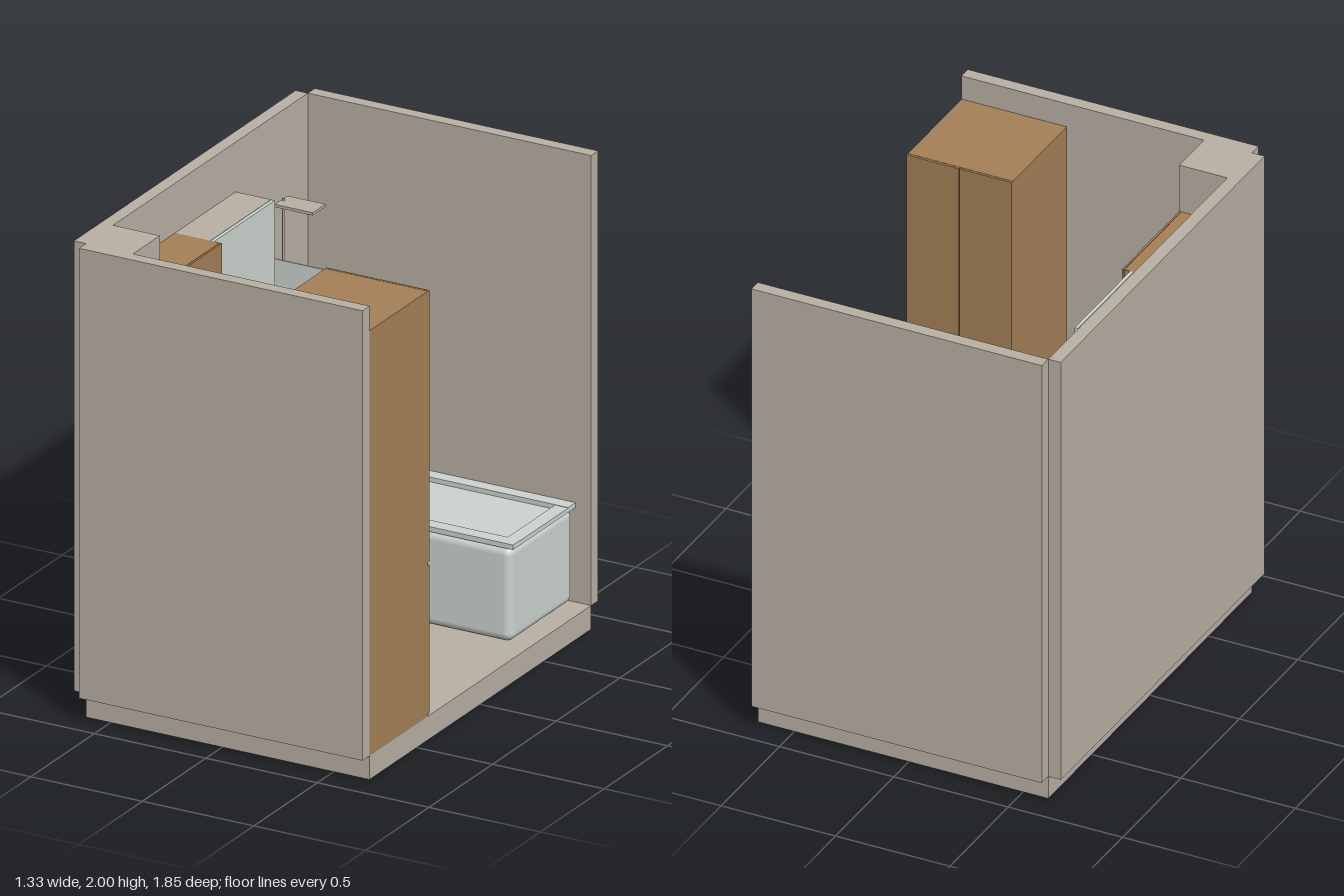
import * as THREE from 'three';
import { RoundedBoxGeometry } from 'three/addons/geometries/RoundedBoxGeometry.js';

export function createModel() {
  const room = new THREE.Group();
  room.name = 'bathroom';
  const material = (name, color) => {
    const m = new THREE.MeshStandardMaterial({ color });
    m.name = name;
    return m;
  };
  const beige = material('warm grey plaster', 0xb8afa3);
  const wood = material('oak wood', 0xa37f56);
  const white = material('white ceramic', 0xcbd2ce);

  // Box from its limits on each axis; a radius rounds its edges
  function box(name, mat, [x0, x1], [y0, y1], [z0, z1], radius = 0) {
    const size = [x1 - x0, y1 - y0, z1 - z0];
    const geo = radius
      ? new RoundedBoxGeometry(...size, 4, radius)
      : new THREE.BoxGeometry(...size);
    const mesh = new THREE.Mesh(geo, mat);
    mesh.name = name;
    mesh.position.set((x0 + x1) / 2, (y0 + y1) / 2, (z0 + z1) / 2);
    room.add(mesh);
  }
  function pipe(name, mat, radius, points) {
    const path = new THREE.CurvePath();
    for (let i = 1; i < points.length; i++) {
      path.add(new THREE.LineCurve3(
        new THREE.Vector3(...points[i - 1]), new THREE.Vector3(...points[i])));
    }
    const mesh = new THREE.Mesh(new THREE.TubeGeometry(path, 24, radius, 10), mat);
    mesh.name = name;
    room.add(mesh);
  }

  // Floor slab and three walls
  box('floor', beige, [-0.61, 0.66], [0, 0.1], [-0.872, 0.872]);
  box('sideWall', beige, [-0.665, -0.61], [0.1, 2], [-0.872, 0.872]);
  box('backWall', beige, [-0.61, 0.66], [0.1, 2], [-0.927, -0.872]);
  box('frontWall', beige, [-0.61, 0.66], [0.1, 2], [0.872, 0.927]);

  // Corner shaft and low wall behind the toilet
  box('cornerShaft', beige, [-0.61, -0.4], [0.1, 2], [0.66, 0.872]);
  box('toiletWall', beige, [-0.61, -0.4], [0.1, 0.94], [0.172, 0.66]);
  box('flushPlate', beige, [-0.4, -0.394], [0.77, 0.875], [0.335, 0.495]);

  // Toilet
  box('toiletBowl', white, [-0.4, -0.11], [0.237, 0.412], [0.225, 0.472], 0.055);
  box('toiletSeat', white, [-0.4, -0.1], [0.41, 0.424], [0.218, 0.476], 0.005);

  // Tall wardrobe with two columns of doors
  box('wardrobe', wood, [0.2, 0.66], [0.1, 1.895], [0.412, 0.872]);
  for (const [x0, x1] of [[0.2, 0.428], [0.432, 0.66]]) {
    box('wardrobeLowerDoor', wood, [x0, x1], [0.11, 0.735], [0.4, 0.41]);
    box('wardrobeUpperDoor', wood, [x0, x1], [0.75, 1.895], [0.4, 0.41]);
  }

  // Wall cabinet and mirror cabinet
  box('wallCabinet', wood, [-0.61, -0.41], [1.015, 1.79], [0.172, 0.66]);
  box('wallCabinetDoor', wood, [-0.408, -0.4], [1.015, 1.79], [0.172, 0.66]);
  box('mirrorCabinet', beige, [-0.61, -0.452], [1.012, 1.79], [-0.305, 0.172]);
  box('mirror', white, [-0.45, -0.435], [1.012, 1.79], [-0.305, 0.172]);
  box('cabinetShelf', beige, [-0.61, -0.45], [1.003, 1.012], [-0.305, 0.66]);
  box('splashback', white, [-0.61, -0.6], [0.875, 1.003], [-0.305, 0.112]);

  // Vanity, basin and tap
  box('vanity', wood, [-0.61, -0.302], [0.345, 0.7], [-0.3, 0.112]);
  box('vanityFront', wood, [-0.3, -0.292], [0.345, 0.695], [-0.305, 0.115]);
  box('vanityTop', white, [-0.61, -0.29], [0.7, 0.715], [-0.307, 0.117]);
  box('basin', white, [-0.54, -0.34], [0.715, 0.74], [-0.253, 0.06], 0.011);
  pipe('tap', beige, 0.007, [[-0.565, 0.71, -0.085], [-0.565, 0.832, -0.085], [-0.48, 0.832, -0.085]]);

  // Bathtub with a raised rim
  box('bathtub', white, [-0.61, 0.58], [0.1, 0.5], [-0.872, -0.38], 0.035);
  for (const z of [[-0.872, -0.815], [-0.44, -0.38]]) {
    box('tubLongRim', white, [-0.61, 0.59], [0.499, 0.52], z);
  }
  for (const x of [[-0.61, -0.55], [0.53, 0.59]]) {
    box('tubEndRim', white, x, [0.499, 0.518], [-0.815, -0.44]);
  }

  // Bath screen and shower
  box('bathScreen', white, [-0.61, -0.15], [0.52, 1.51], [-0.379, -0.373]);
  pipe('showerRail', beige, 0.006, [[-0.585, 0.77, -0.638], [-0.585, 1.648, -0.638]]);
  box('showerHead', beige, [-0.595, -0.425], [1.626, 1.638], [-0.685, -0.585]);
  box('showerMixer', beige, [-0.61, -0.57], [0.7, 0.755], [-0.642, -0.61]);

  return room;
}
